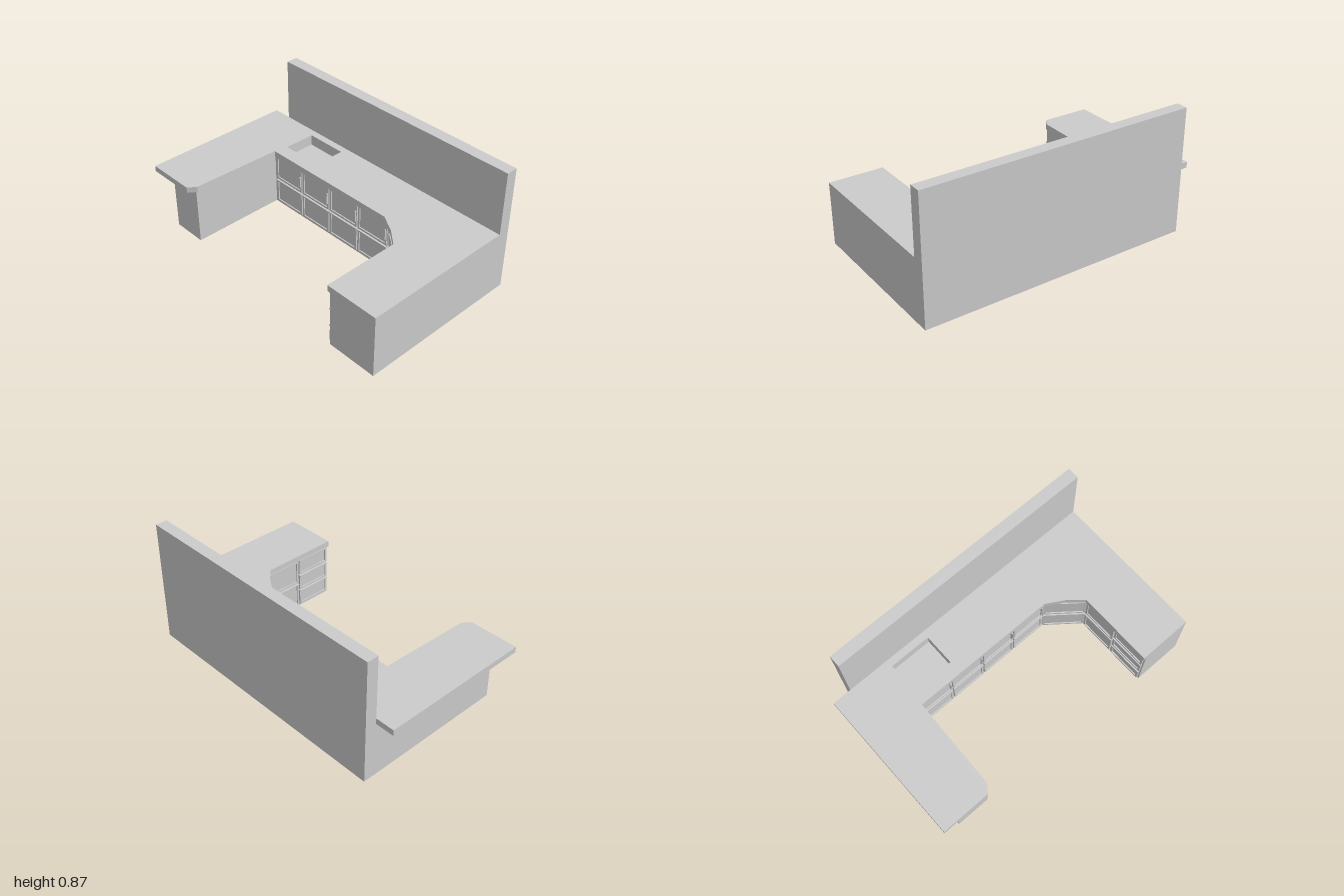
import * as THREE from 'three';

const material = new THREE.MeshStandardMaterial({ color: 0xcccccc, flatShading: true });

function addMesh(parent, name, geometry, x = 0, y = 0, z = 0) {
  const mesh = new THREE.Mesh(geometry, material);
  mesh.name = name;
  mesh.position.set(x, y, z);
  parent.add(mesh);
  return mesh;
}

function box(parent, name, x0, x1, y0, y1, z0, z1) {
  return addMesh(parent, name, new THREE.BoxGeometry(x1 - x0, y1 - y0, z1 - z0),
    (x0 + x1) / 2, (y0 + y1) / 2, (z0 + z1) / 2);
}

// Floor-plan outline of [x, z] points, extruded upwards from y0 to y1
function plan(parent, name, points, hole, y0, y1) {
  const toVectors = (list) => list.map(([x, z]) => new THREE.Vector2(x, -z));
  const shape = new THREE.Shape(toVectors(points));
  shape.holes.push(new THREE.Path(toVectors(hole)));
  const geometry = new THREE.ExtrudeGeometry(shape, { depth: y1 - y0, bevelEnabled: false });
  geometry.rotateX(-Math.PI / 2);
  return addMesh(parent, name, geometry, 0, y0, 0);
}

// Framed front with a recessed centre panel, in local x/y facing local +z
function framedFront(parent, name, x0, x1, y0, y1) {
  const rectangle = (Type, inset) => new Type([
    new THREE.Vector2(x0 + inset, y0 + inset), new THREE.Vector2(x1 - inset, y0 + inset),
    new THREE.Vector2(x1 - inset, y1 - inset), new THREE.Vector2(x0 + inset, y1 - inset),
  ]);
  const frame = rectangle(THREE.Shape, 0);
  frame.holes.push(rectangle(THREE.Path, 0.014));
  addMesh(parent, name + 'Frame', new THREE.ExtrudeGeometry(frame, { depth: 0.014, bevelEnabled: false }));
  box(parent, name + 'Panel', x0 + 0.014, x1 - 0.014, y0 + 0.014, y1 - 0.014, 0, 0.006);
}

// Run of cabinet columns from plan point a to b; each column is a number of rows
function cabinetRun(parent, name, a, b, columns, handles) {
  const run = new THREE.Group();
  run.name = name;
  const dx = b[0] - a[0], dz = b[1] - a[1];
  run.position.set(a[0], 0, a[1]);
  run.rotation.y = Math.atan2(-dz, dx);
  const width = Math.hypot(dx, dz) / columns.length;
  const bottom = 0.015, top = 0.385, gap = 0.005;
  columns.forEach((rows, i) => {
    const x0 = i * width + gap, x1 = (i + 1) * width - gap;
    const height = (top - bottom) / rows;
    for (let r = 0; r < rows; r++) {
      const y0 = bottom + r * height;
      framedFront(run, rows === 3 ? 'drawer' : 'door', x0, x1, y0 + 0.004, y0 + height - 0.004);
      // Lip along the upper edge of each front
      box(run, 'lip', x0, x1, y0 + height - 0.012, y0 + height - 0.004, 0.012, 0.02);
    }
    if (handles) box(run, 'handle', x1 - 0.012, x1 - 0.005, 0.25, 0.33, 0.012, 0.024);
  });
  parent.add(run);
}

export function createModel() {
  const model = new THREE.Group();
  model.name = 'kitchenCounter';

  // Tall wall behind the counter
  box(model, 'wall', 0.485, 0.565, 0, 0.865, -0.87, 1);

  // Worktop and base share the sink opening
  const sink = [[0.215, -0.58], [0.435, -0.58], [0.435, -0.29], [0.215, -0.29]];
  plan(model, 'worktop', [
    [0.485, -1], [-0.565, -1], [-0.565, -0.66], [-0.51, -0.62], [0.12, -0.6], [0.12, 0.41],
    [0.05, 0.53], [-0.035, 0.63], [-0.565, 0.63], [-0.565, 1], [0.485, 1],
  ], sink, 0.39, 0.43);
  plan(model, 'cabinetBase', [
    [0.485, -0.87], [-0.515, -0.87], [-0.515, -0.63], [0.15, -0.63], [0.15, 0.43],
    [-0.03, 0.655], [-0.565, 0.655], [-0.565, 1], [0.485, 1],
  ], sink, 0, 0.39);
  box(model, 'sinkFloor', 0.215, 0.435, 0, 0.355, -0.58, -0.29);

  // Doors and drawers along the inside of the counter
  cabinetRun(model, 'longSideCabinets', [0.15, -0.61], [0.15, 0.425], [2, 2, 2, 2], true);
  cabinetRun(model, 'cornerCabinet', [0.15, 0.43], [-0.03, 0.655], [2], false);
  cabinetRun(model, 'frontCabinets', [-0.035, 0.655], [-0.56, 0.655], [2, 3], false);

  return model;
}
